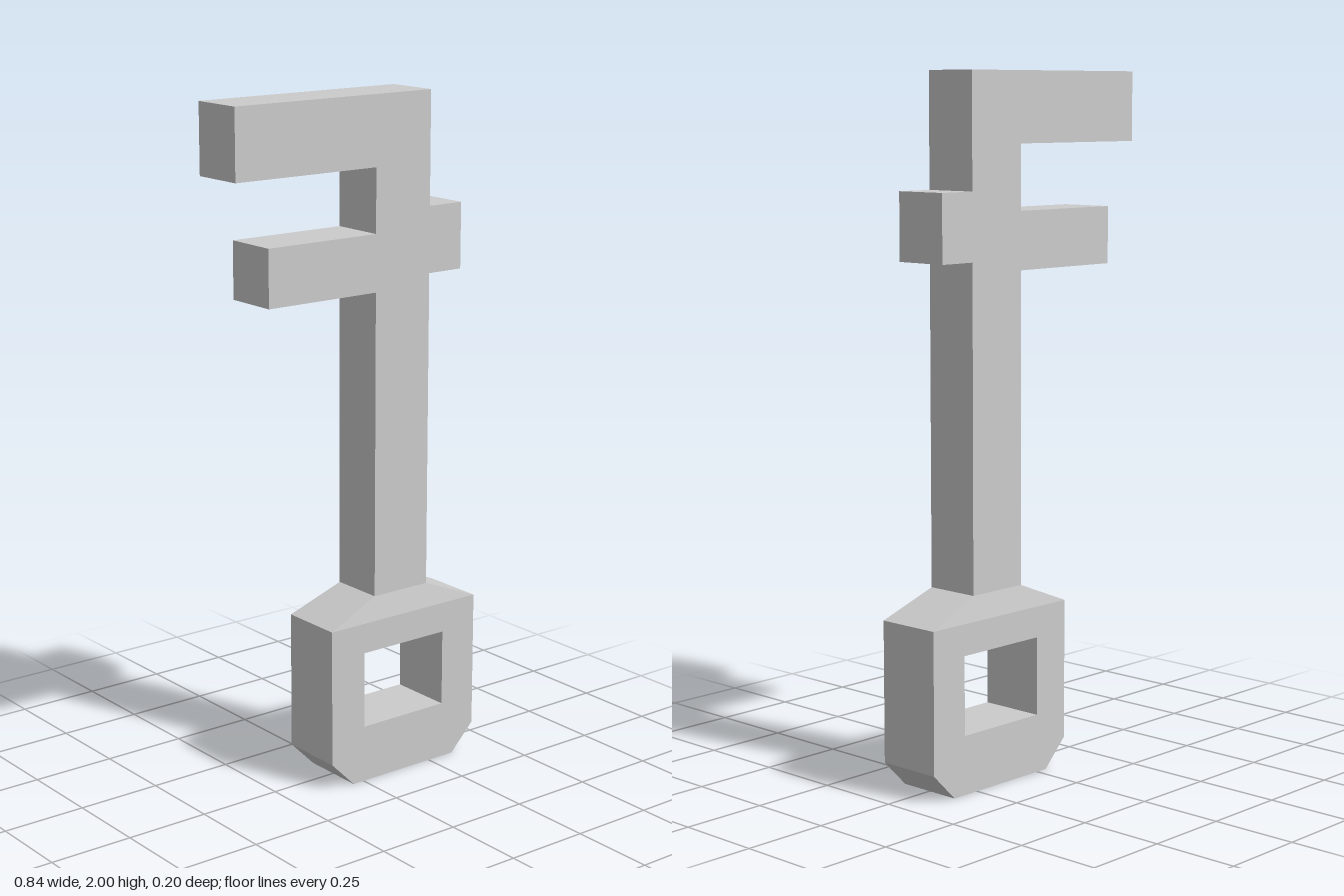
import * as THREE from 'three';

const material = new THREE.MeshStandardMaterial({ color: 0xcccccc, flatShading: true });

// Flat plate of the given outline, centred on z = 0
function plate(name, points, depth, hole) {
  const toVectors = (list) => list.map(([x, y]) => new THREE.Vector2(x, y));
  const shape = new THREE.Shape(toVectors(points));
  if (hole) shape.holes.push(new THREE.Path(toVectors(hole)));
  const geometry = new THREE.ExtrudeGeometry(shape, { depth, bevelEnabled: false });
  geometry.translate(0, 0, -depth / 2);
  const mesh = new THREE.Mesh(geometry, material);
  mesh.name = name;
  return mesh;
}

export function createModel() {
  const group = new THREE.Group();
  group.name = 'key';

  const shaftDepth = 0.164, bowDepth = 0.196;
  const shaftLeft = 0.246, shaftRight = 0.052;
  const bowLeft = 0.419, bowRight = -0.116;
  const shoulderBottom = 0.488, shoulderTop = 0.557;

  // Shaft with two long teeth on one side and a short stub on the other
  group.add(plate('shaftAndTeeth', [
    [shaftRight, shoulderTop], [shaftLeft, shoulderTop],
    [shaftLeft, 1.482], [0.362, 1.482], [0.362, 1.674], [shaftLeft, 1.674],
    [shaftLeft, 2], [-0.422, 2], [-0.422, 1.8], [shaftRight, 1.8],
    [shaftRight, 1.615], [-0.317, 1.615], [-0.317, 1.45], [shaftRight, 1.45],
  ], shaftDepth));

  // Bow: handle plate with cut lower corners and a rectangular hole
  group.add(plate('bow', [
    [-0.037, 0], [0.34, 0], [bowLeft, 0.08], [bowLeft, shoulderBottom],
    [bowRight, shoulderBottom], [bowRight, 0.08],
  ], bowDepth, [[0.002, 0.17], [0.002, 0.398], [0.298, 0.398], [0.298, 0.17]]));

  // Shoulder: box whose top is drawn in to meet the shaft
  const shoulder = new THREE.BoxGeometry(1, 1, 1);
  const pos = shoulder.attributes.position;
  for (let i = 0; i < pos.count; i++) {
    const top = pos.getY(i) > 0, left = pos.getX(i) > 0;
    pos.setXYZ(i,
      top ? (left ? shaftLeft : shaftRight) : (left ? bowLeft : bowRight),
      top ? shoulderTop : shoulderBottom,
      pos.getZ(i) * (top ? shaftDepth : bowDepth));
  }
  shoulder.computeVertexNormals();
  const shoulderMesh = new THREE.Mesh(shoulder, material);
  shoulderMesh.name = 'shoulder';
  group.add(shoulderMesh);

  return group;
}
